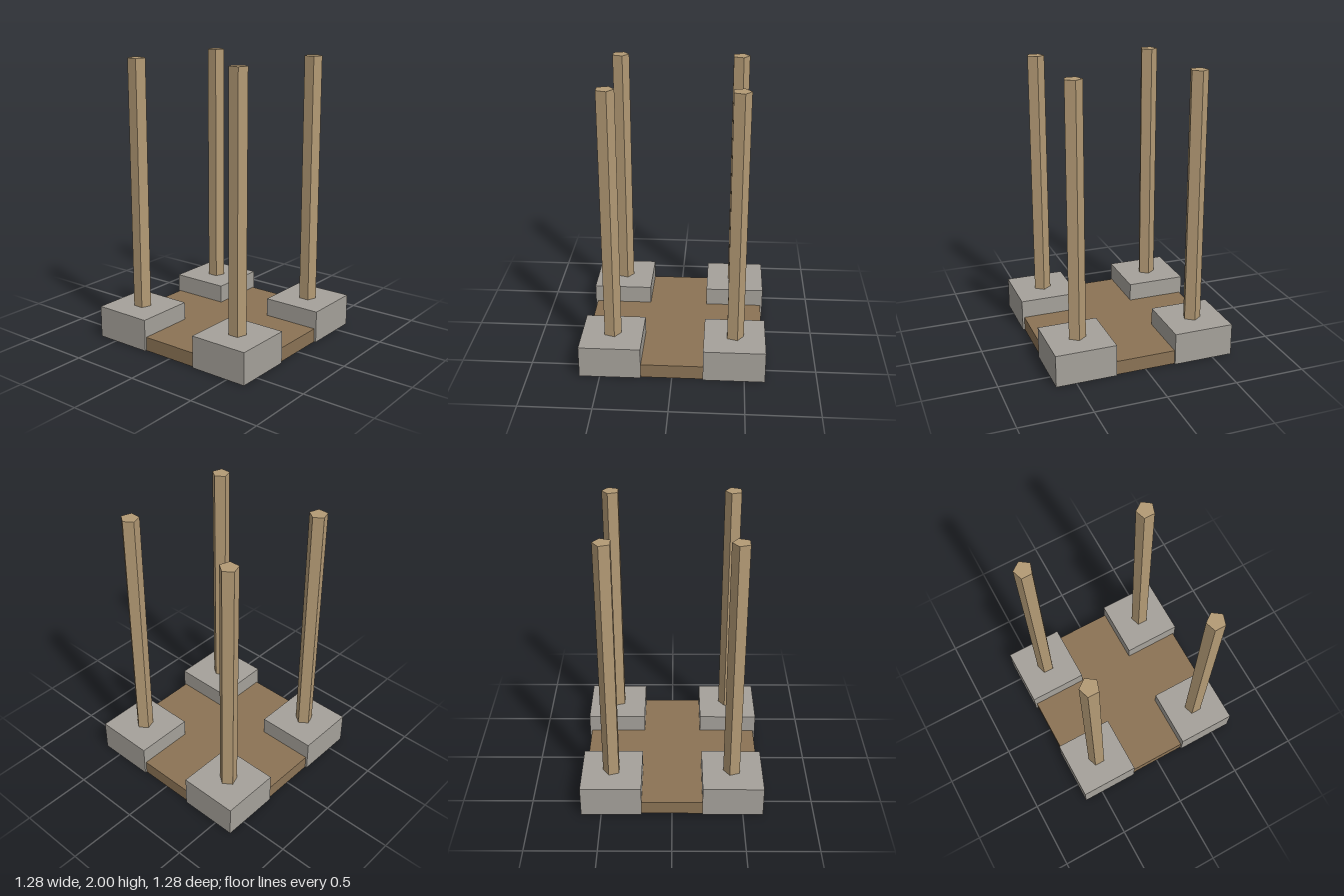
import * as THREE from 'three';

export function createModel() {
  const group = new THREE.Group();
  const material = (name, color) => {
    const m = new THREE.MeshStandardMaterial({ color });
    m.name = name;
    return m;
  };
  const wood = material('dark wood', 0x8b7355);
  const stone = material('stone', 0xa5a19a);
  const timber = material('light timber', 0xb39a75);

  const add = (name, geometry, mat, x, y, z) => {
    const mesh = new THREE.Mesh(geometry, mat);
    mesh.name = name;
    mesh.position.set(x, y, z);
    group.add(mesh);
  };

  // Floor slab
  add('floor', new THREE.BoxGeometry(1.254, 0.1, 1.254), wood, 0, 0.05, 0);

  // Footing heights: undersides sit just above the floor's underside
  const lift = 0.001, top = 0.23, footHeight = top - lift;
  const footing = new THREE.BoxGeometry(0.427, footHeight, 0.427);

  // Five-sided post with faceted sides and one corner pointing back
  const postHeight = 2 - top;
  const post = new THREE.CylinderGeometry(0.0635, 0.0635, postHeight, 5)
    .rotateY(Math.PI).toNonIndexed();
  post.computeVertexNormals();

  // Footing and post at each corner
  for (const [side, sx] of [['Left', 1], ['Right', -1]]) {
    for (const [end, sz] of [['front', 1], ['back', -1]]) {
      const x = sx * 0.428, z = sz * 0.428;
      add(`${end}${side}Footing`, footing, stone, x, lift + footHeight / 2, z);
      add(`${end}${side}Post`, post, timber, x, top + postHeight / 2, z);
    }
  }
  return group;
}
